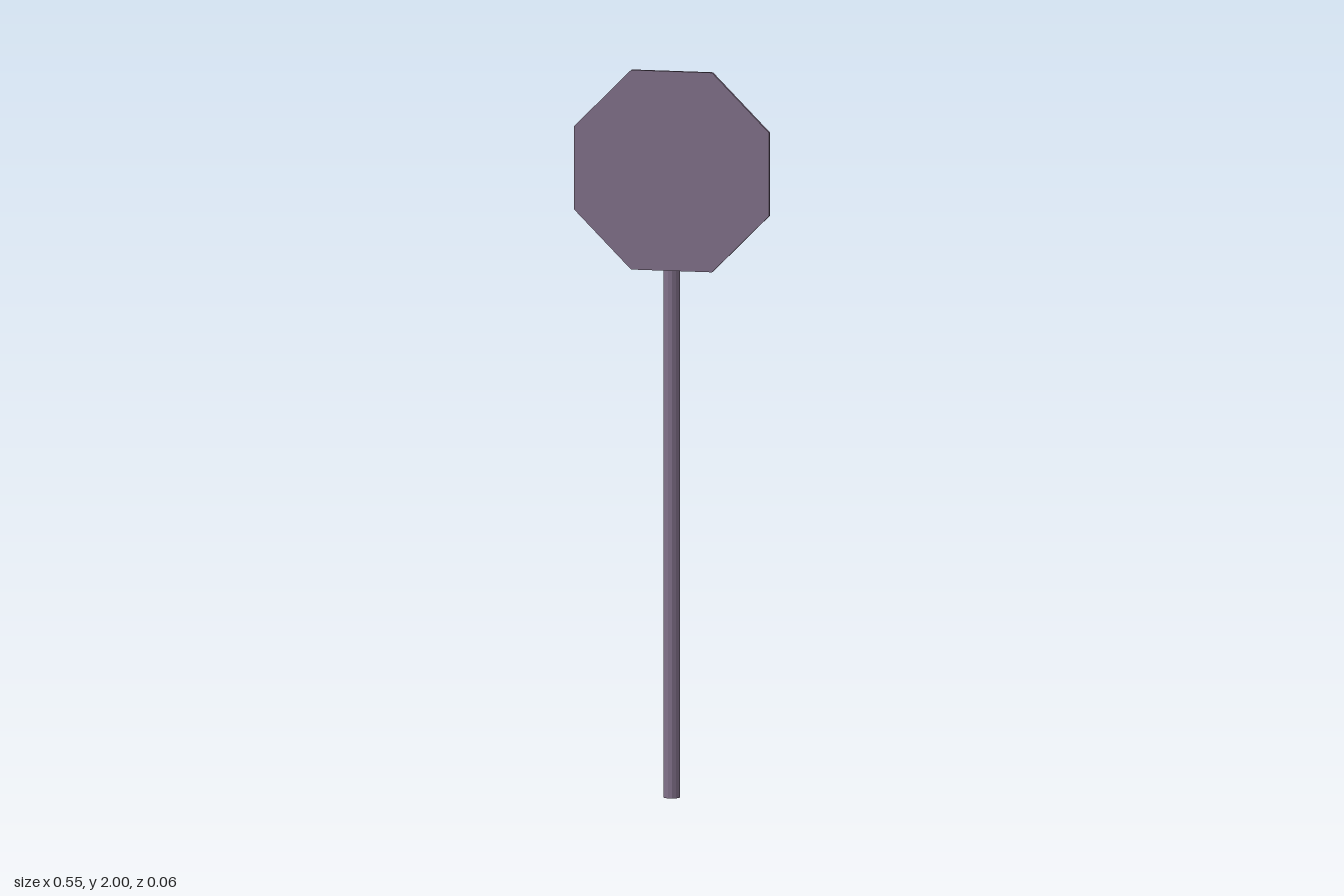
import * as THREE from 'three';

export function createModel() {
  const group = new THREE.Group();
  const material = new THREE.MeshStandardMaterial({ color: 0x83728b, flatShading: true });

  // Post: slim faceted cylinder behind the plate, slightly off centre
  const postSides = 12, postHeight = 1.835;
  const postGeometry = new THREE.CylinderGeometry(0.0225, 0.0225, postHeight, postSides);
  postGeometry.rotateY(Math.PI / postSides);
  const post = new THREE.Mesh(postGeometry, material);
  post.name = 'post';
  post.position.set(-0.0095, postHeight / 2, -0.0105);
  group.add(post);

  // Sign plate: thin octagon with flat top and sides, facing +z
  const halfWidth = 0.274, thickness = 0.011;
  const radius = halfWidth / Math.cos(Math.PI / 8);
  const plateGeometry = new THREE.CylinderGeometry(radius, radius, thickness, 8);
  plateGeometry.rotateY(Math.PI / 8);
  plateGeometry.rotateX(Math.PI / 2);
  const plate = new THREE.Mesh(plateGeometry, material);
  plate.name = 'signPlate';
  plate.position.set(0, 2 - halfWidth, 0.0255);
  group.add(plate);

  return group;
}
